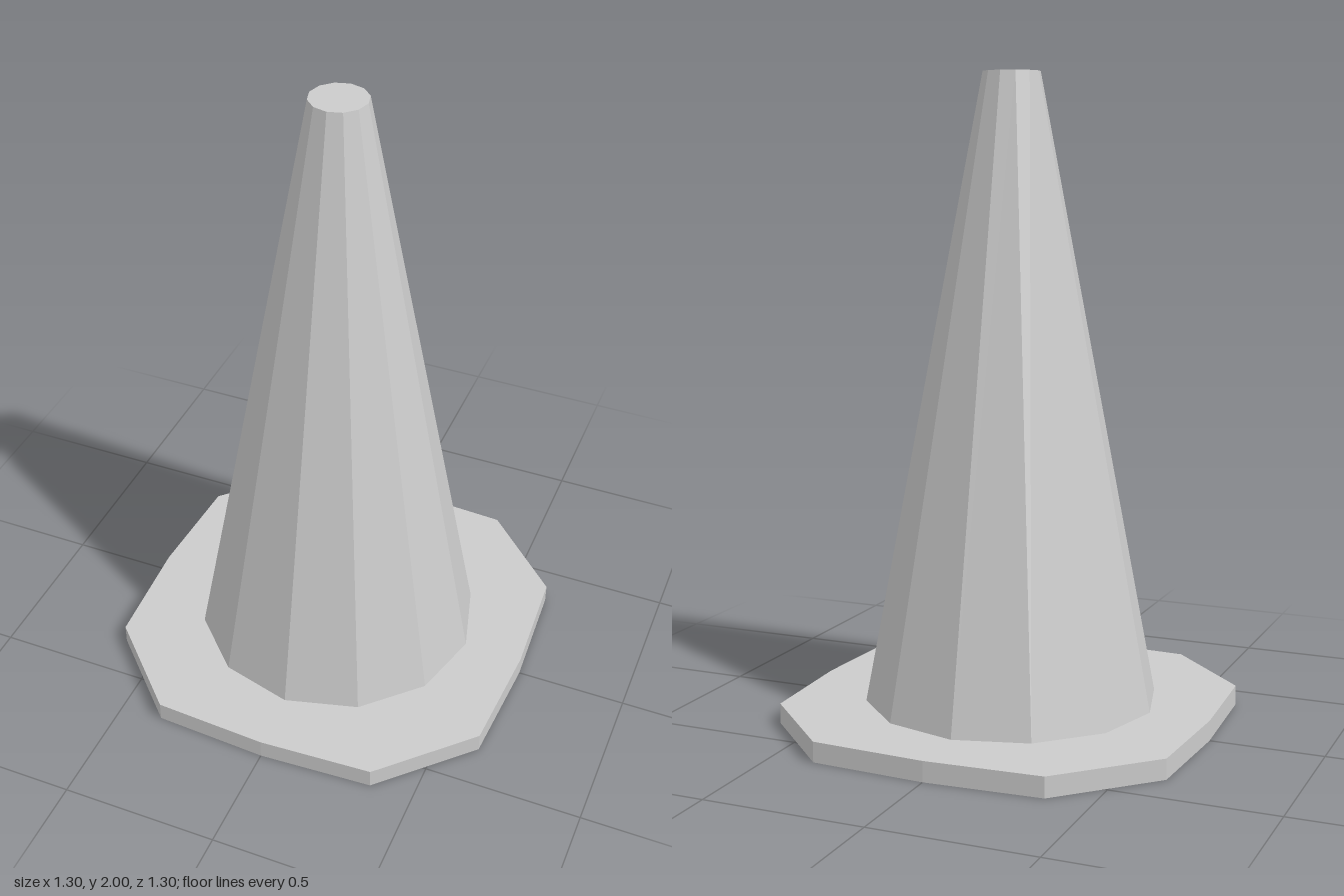
import * as THREE from 'three';

export function createModel() {
  const group = new THREE.Group();
  const material = new THREE.MeshStandardMaterial({ color: 0xcccccc, flatShading: true });
  const sides = 12, baseHeight = 0.063, height = 2;

  // Base plate: twelve-sided, pulled in at the four axis points to look squarish
  const outline = [];
  for (let i = 0; i < sides; i++) {
    const angle = (i / sides) * Math.PI * 2;
    const radius = i % 3 === 0 ? 0.648 : 0.725;
    outline.push(new THREE.Vector2(Math.cos(angle) * radius, Math.sin(angle) * radius));
  }
  const baseGeometry = new THREE.ExtrudeGeometry(new THREE.Shape(outline), {
    depth: baseHeight, bevelEnabled: false,
  });
  baseGeometry.rotateX(-Math.PI / 2);
  const base = new THREE.Mesh(baseGeometry, material);
  base.name = 'basePlate';
  group.add(base);

  // Tapered body with a flat closed top
  const bodyHeight = height - baseHeight;
  const body = new THREE.Mesh(
    new THREE.CylinderGeometry(0.088, 0.458, bodyHeight, sides), material);
  body.position.y = baseHeight + bodyHeight / 2;
  body.name = 'coneBody';
  group.add(body);

  return group;
}
